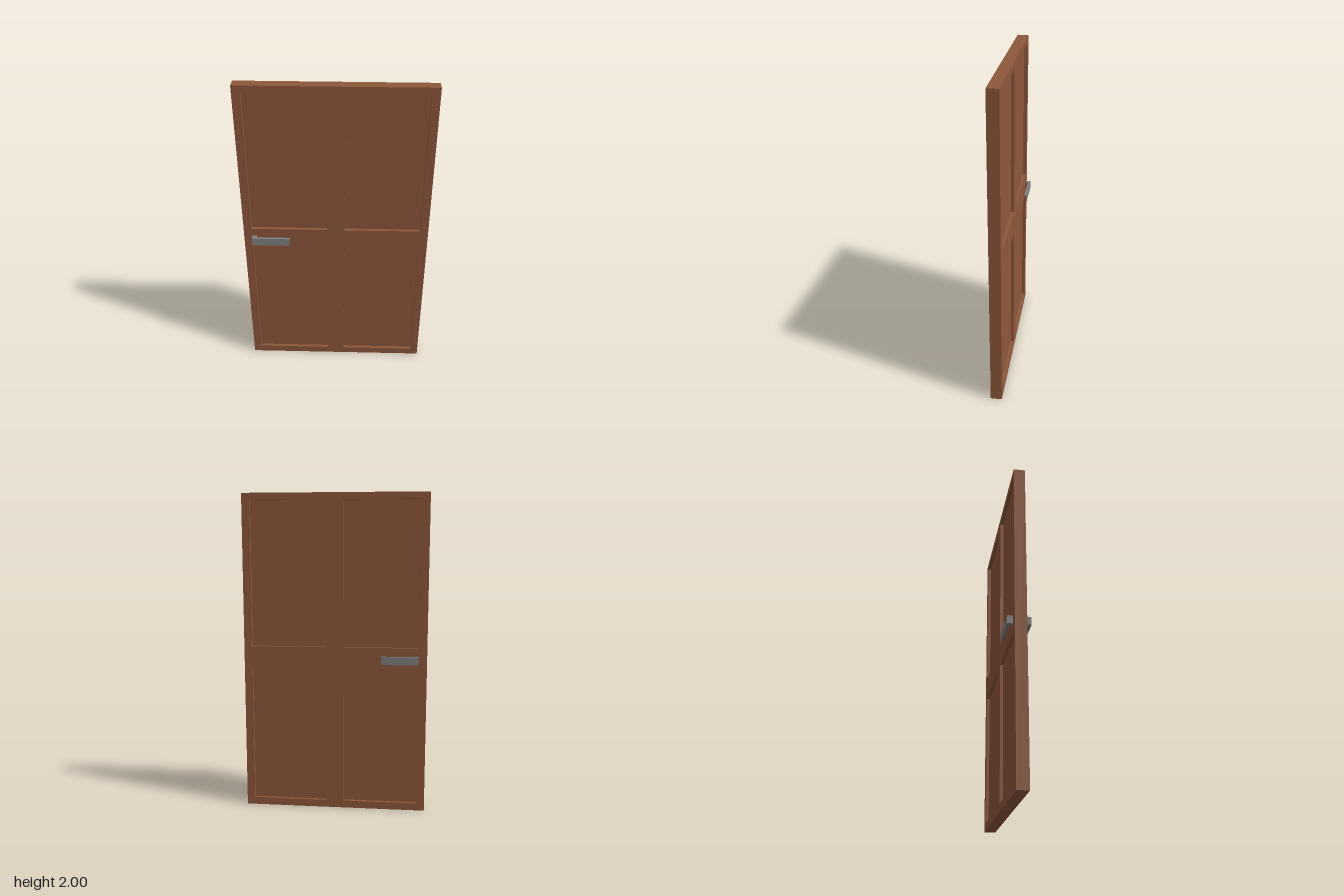
import * as THREE from 'three';

const wood = new THREE.MeshStandardMaterial({ color: 0x8e583b });
wood.name = 'brown wood';
const metal = new THREE.MeshStandardMaterial({ color: 0x828282 });
metal.name = 'grey metal';

const HALF_W = 0.576, HEIGHT = 2, BACK = -0.036, FRONT = 0.034, RECESS = 0.02;
const COLUMNS = [[-0.526, -0.055], [0.055, 0.526]];
const ROWS = [[0.047, 0.905], [1.053, 1.958]];

// Box given by its limits on each axis
function block(name, [x0, x1], [y0, y1], [z0, z1], material) {
  const mesh = new THREE.Mesh(new THREE.BoxGeometry(x1 - x0, y1 - y0, z1 - z0), material);
  mesh.position.set((x0 + x1) / 2, (y0 + y1) / 2, (z0 + z1) / 2);
  mesh.name = name;
  return mesh;
}

function rectangle(PathType, [x0, x1], [y0, y1]) {
  return new PathType([[x0, y0], [x1, y0], [x1, y1], [x0, y1]].map(([x, y]) => new THREE.Vector2(x, y)));
}

export function createModel() {
  const door = new THREE.Group();
  door.name = 'door';

  // Frame with four openings, each filled by a thinner panel
  const outline = rectangle(THREE.Shape, [-HALF_W, HALF_W], [0, HEIGHT]);
  for (const column of COLUMNS) {
    for (const row of ROWS) {
      outline.holes.push(rectangle(THREE.Path, column, row));
      door.add(block('recessedPanel', column, row, [BACK + RECESS, FRONT - RECESS], wood));
    }
  }
  const frameGeometry = new THREE.ExtrudeGeometry(outline, { depth: FRONT - BACK, bevelEnabled: false });
  const frame = new THREE.Mesh(frameGeometry, wood);
  frame.position.z = BACK;
  frame.name = 'frame';
  door.add(frame);

  // Lever handle on each side: a short post and a long grip; faces toward +x may be wood
  const woodEnd = [wood, metal, metal, metal, metal, metal];
  const y = [0.952, 1.002];
  const handles = [
    { name: 'frontHandle', post: [FRONT, 0.053], grip: [0.053, 0.069], tip: -0.289, gripMaterial: metal },
    { name: 'backHandle', post: [-0.055, BACK], grip: [-0.07, -0.055], tip: -0.292, gripMaterial: woodEnd },
  ];
  for (const h of handles) {
    const handle = new THREE.Group();
    handle.name = h.name;
    handle.add(block('handlePost', [-0.524, -0.494], y, h.post, woodEnd));
    handle.add(block('handleGrip', [-0.524, h.tip], y, h.grip, h.gripMaterial));
    door.add(handle);
  }
  return door;
}
